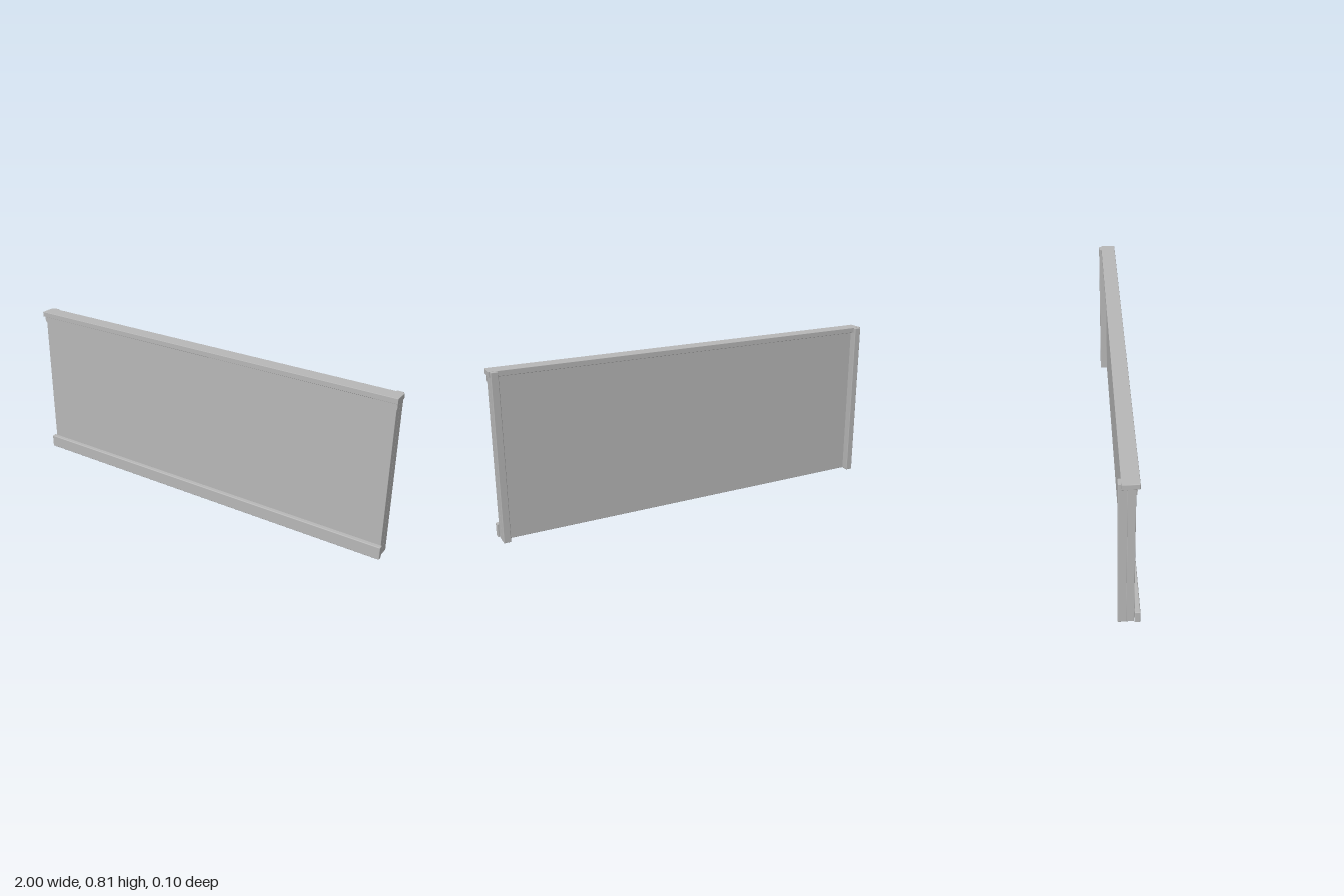
import * as THREE from 'three';
import { RoundedBoxGeometry } from 'three/addons/geometries/RoundedBoxGeometry.js';

export function createModel() {
  const group = new THREE.Group();
  const grey = new THREE.MeshStandardMaterial({ color: 0xb8b8b8 });
  grey.name = 'grey';

  // A bar between two corners, with softened edges when a radius is given
  function bar(name, [x0, x1], [y0, y1], [z0, z1], radius = 0) {
    const size = [x1 - x0, y1 - y0, z1 - z0];
    const geometry = radius
      ? new RoundedBoxGeometry(...size, 2, radius)
      : new THREE.BoxGeometry(...size);
    const mesh = new THREE.Mesh(geometry, grey);
    mesh.name = name;
    mesh.position.set((x0 + x1) / 2, (y0 + y1) / 2, (z0 + z1) / 2);
    group.add(mesh);
  }

  // Wall panel
  bar('panel', [-0.992, 0.992], [0.002, 0.785], [-0.011, 0.023], 0.002);

  // Cap rail along the top and the thin trim strip under its front
  bar('topRail', [-1, 1], [0.78, 0.806], [-0.035, 0.038], 0.002);
  bar('trimStrip', [-0.996, 0.996], [0.75, 0.781], [0.022, 0.027]);

  // Skirting board along the foot of the front
  bar('skirtingBoard', [-1, 1], [0.002, 0.068], [0.025, 0.05], 0.004);

  // Upright posts behind both ends
  bar('leftPost', [0.958, 0.992], [0, 0.804], [-0.048, -0.009], 0.003);
  bar('rightPost', [-0.992, -0.958], [0, 0.804], [-0.048, -0.009], 0.003);

  return group;
}
